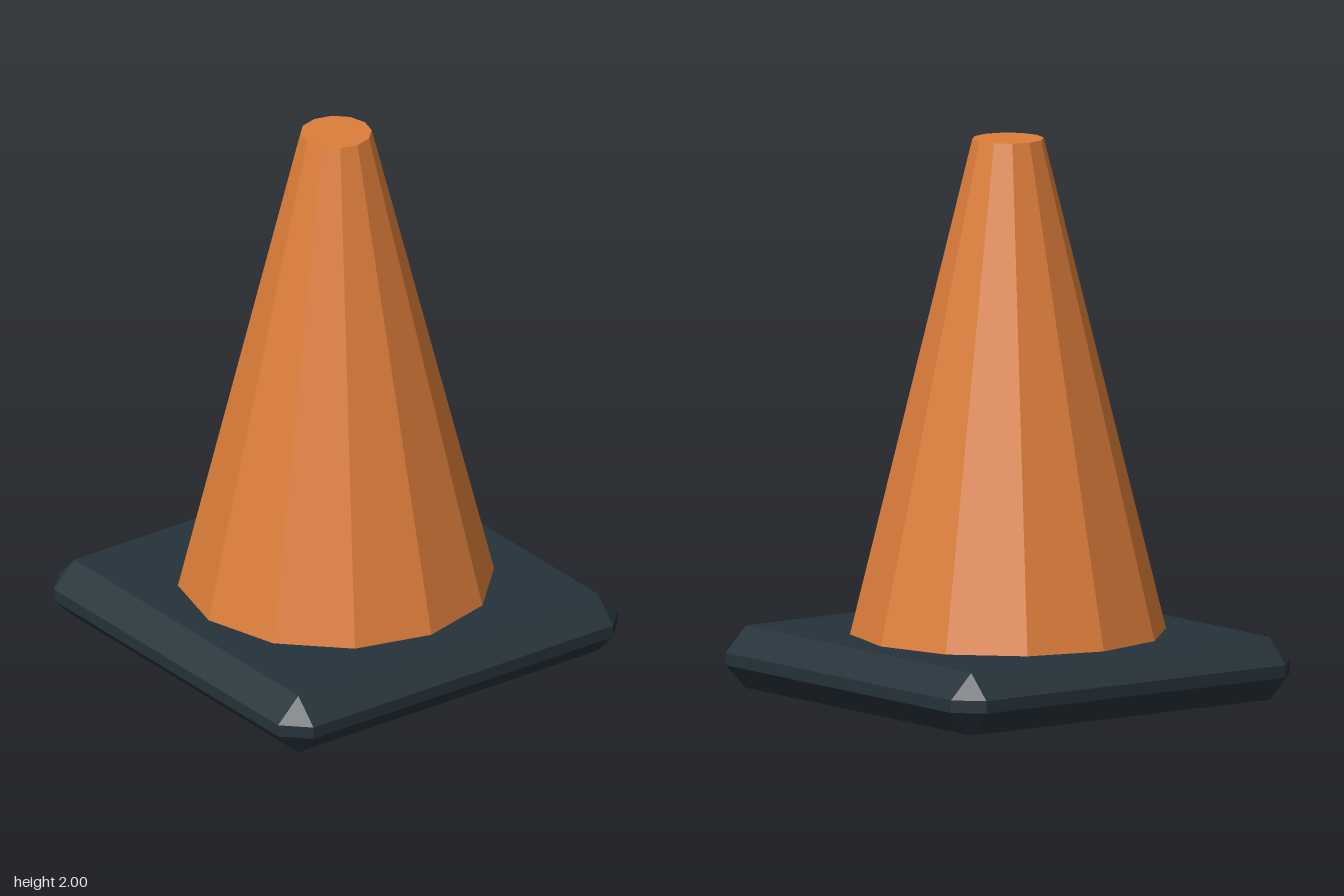
import * as THREE from 'three';
import { ConvexGeometry } from 'three/addons/geometries/ConvexGeometry.js';

const SIDES = 12;

// Box with every edge and corner chamfered: each corner becomes three points
function chamferedSlab(half, height, bevel) {
  const inner = half - bevel;
  const points = [];
  for (const sx of [-1, 1]) {
    for (const sz of [-1, 1]) {
      for (const [yFlat, yEdge] of [[0, bevel], [height, height - bevel]]) {
        points.push(
          new THREE.Vector3(sx * inner, yFlat, sz * inner),
          new THREE.Vector3(sx * half, yEdge, sz * inner),
          new THREE.Vector3(sx * inner, yEdge, sz * half)
        );
      }
    }
  }
  return new ConvexGeometry(points);
}

export function createModel() {
  const model = new THREE.Group();
  model.name = 'trafficCone';

  const orange = new THREE.MeshStandardMaterial({ color: 0xdd7e3a });
  orange.name = 'orange plastic';
  orange.flatShading = true;
  const rubber = new THREE.MeshStandardMaterial({ color: 0x26323a });
  rubber.name = 'dark rubber';
  rubber.flatShading = true;

  // Square foot
  const baseHeight = 0.225;
  const base = new THREE.Mesh(chamferedSlab(0.755, baseHeight, 0.09), rubber);
  base.name = 'base';
  model.add(base);

  // Tapered twelve-sided body with a flat closed top
  const bodyHeight = 2 - baseHeight;
  const body = new THREE.Mesh(
    new THREE.CylinderGeometry(0.128, 0.566, bodyHeight, SIDES),
    orange
  );
  body.name = 'coneBody';
  body.position.y = baseHeight + bodyHeight / 2;
  model.add(body);

  return model;
}
